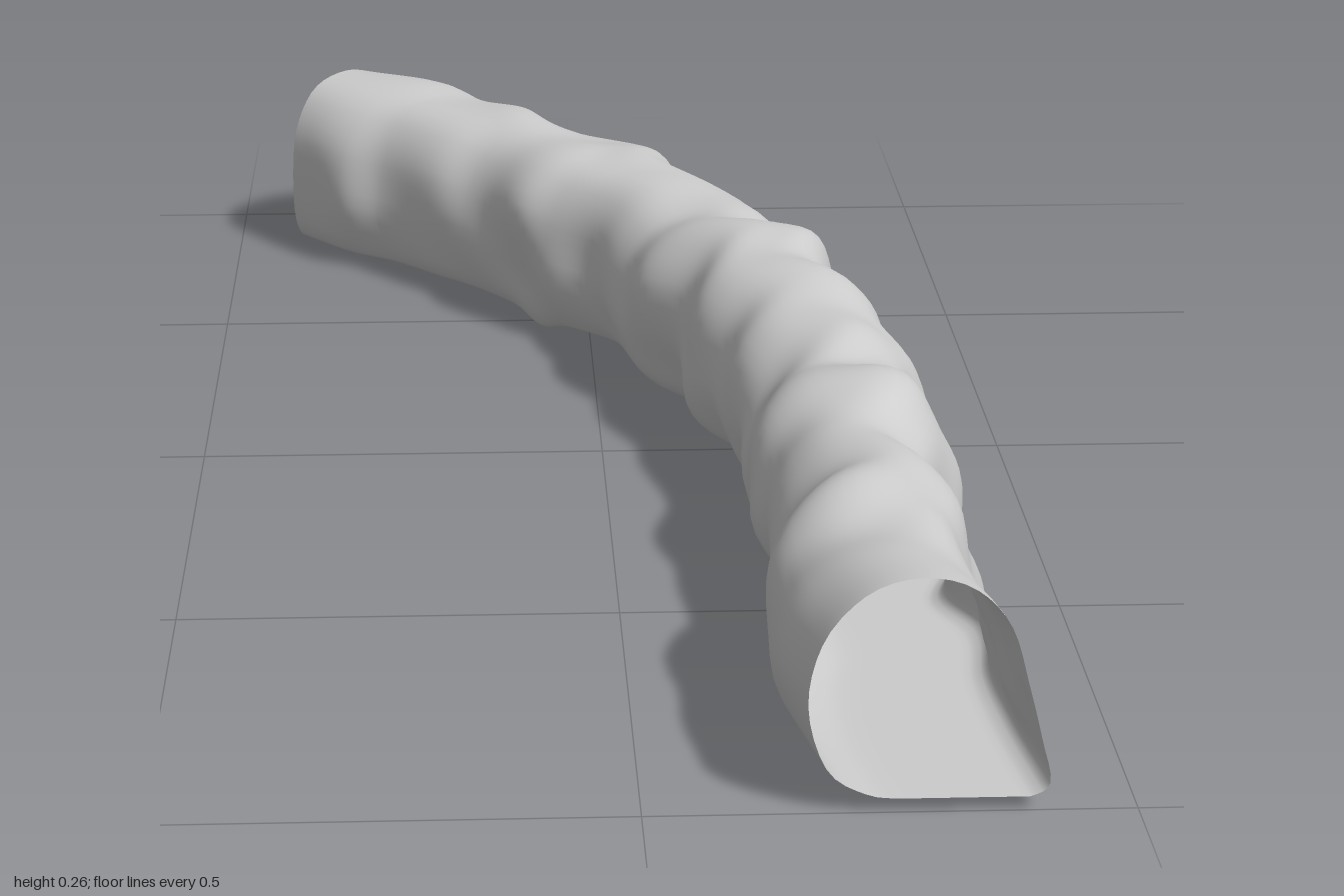
import * as THREE from 'three';

// Left and right wall of the tunnel in plan, back to front: [xL, zL, xR, zR]
const walls = [
  [-0.42, -0.84, -0.27, -1], [-0.35, -0.75, -0.14, -0.93], [-0.29, -0.71, -0.1, -0.85],
  [-0.22, -0.63, -0.03, -0.82], [-0.17, -0.58, 0.01, -0.73], [-0.1, -0.47, 0.14, -0.61],
  [-0.06, -0.42, 0.15, -0.51], [0, -0.35, 0.24, -0.41], [0.025, -0.25, 0.275, -0.33],
  [0.045, -0.17, 0.285, -0.24], [0.1, -0.08, 0.325, -0.18], [0.1, 0.01, 0.325, -0.08],
  [0.135, 0.09, 0.37, 0], [0.14, 0.16, 0.37, 0.08], [0.16, 0.25, 0.4, 0.15],
  [0.15, 0.36, 0.385, 0.25], [0.15, 0.45, 0.415, 0.38], [0.165, 0.53, 0.37, 0.52],
  [0.16, 0.65, 0.4, 0.61], [0.145, 0.75, 0.39, 0.73], [0.14, 0.86, 0.395, 0.85],
  [0.165, 1, 0.41, 1],
];

// Roof level at even steps from back to front
const roofLevels = [
  0.245, 0.246, 0.243, 0.235, 0.245, 0.245, 0.23, 0.238, 0.262, 0.25,
  0.245, 0.235, 0.23, 0.248, 0.235, 0.238, 0.245, 0.235, 0.243, 0.255,
];

// Cross-sections (u across -1..1, v up 0..1): left wall, roof, right wall, floor
const backProfile = [
  [-0.84, 0], [-0.97, 0.12], [-1, 0.42], [-0.92, 0.7], [-0.62, 0.92], [-0.1, 1], [0.45, 0.95],
  [0.83, 0.77], [1, 0.48], [0.95, 0.23], [0.78, 0.06], [0.55, 0], [0.2, 0], [-0.2, 0], [-0.55, 0],
];
const frontProfile = [
  [-0.5, 0.02], [-0.84, 0.14], [-1, 0.43], [-0.9, 0.7], [-0.56, 0.92], [-0.1, 1], [0.35, 0.94],
  [0.64, 0.77], [0.8, 0.5], [0.92, 0.26], [1, 0.06], [0.84, 0], [0.45, 0], [0.1, 0], [-0.2, 0],
];

const SEGMENTS = 190, SIDES = 60, FLOOR = 0.015;

const spline = (points, closed) => new THREE.CatmullRomCurve3(points, closed, 'centripetal');
const section = (profile) => spline(profile.map(([u, v]) => new THREE.Vector3(u, v, 0)), true);

// Lumpy rock relief, -1..1, broken up along the tunnel and around the section
const relief = (z, u, v) =>
  0.45 * Math.sin(24 * z + 2.2 * u + 1) * Math.cos(2.4 * u - 6 * v + 5 * z) +
  0.35 * Math.sin(35 * z - 3.1 * u + 7 * v) +
  0.2 * Math.sin(15 * z + 5 * u - 9 * v + 2);

function tunnelGeometry() {
  const left = spline(walls.map(([x, z]) => new THREE.Vector3(x, 0, z)), false);
  const right = spline(walls.map(([, , x, z]) => new THREE.Vector3(x, 0, z)), false);
  const roof = new THREE.SplineCurve(roofLevels.map((y, i) => new THREE.Vector2(i, y)));
  const back = section(backProfile), front = section(frontProfile);
  const positions = [], index = [];

  for (let i = 0; i <= SEGMENTS; i++) {
    const t = i / SEGMENTS;
    const l = left.getPoint(t), r = right.getPoint(t);
    const mid = l.clone().add(r).multiplyScalar(0.5);
    const across = r.clone().sub(l).multiplyScalar(0.5);
    const ends = Math.min(1, Math.min(t, 1 - t) * 12);
    const blend = THREE.MathUtils.smoothstep(t, 0.1, 0.9);
    const height = roof.getPoint(THREE.MathUtils.clamp((mid.z + 0.92) / 1.92, 0, 1)).y - FLOOR;

    for (let j = 0; j < SIDES; j++) {
      const s = back.getPoint(j / SIDES).lerp(front.getPoint(j / SIDES), blend);
      const v = Math.max(0, s.y);
      const lump = relief(mid.z, s.x, v) * Math.min(1, v * 4) * ends;
      // The walls tuck in towards the floor along the middle stretch
      const tuck = 0.1 * Math.sin(Math.PI * t) * Math.max(0, 1 - v / 0.35);
      const p = mid.clone().addScaledVector(across, s.x * (1 - tuck + 0.075 * lump));
      p.y = FLOOR + v * height + 0.009 * lump * v;
      // Small sags at the foot of the wall
      const sag = Math.exp(-(((p.x + 0.07) / 0.03) ** 2) - ((p.z + 0.47) / 0.04) ** 2)
        + 0.5 * Math.exp(-(((p.x - 0.38) / 0.03) ** 2) - ((p.z - 0.38) / 0.05) ** 2);
      p.y -= 0.017 * sag * Math.max(0, 1 - v * 3);
      positions.push(p.x, Math.max(0, p.y), p.z);
    }
  }
  for (let i = 0; i < SEGMENTS; i++) {
    for (let j = 0; j < SIDES; j++) {
      const k = (j + 1) % SIDES;
      const a = i * SIDES + j, b = a + SIDES, c = i * SIDES + k, d = c + SIDES;
      index.push(a, b, c, b, d, c);
    }
  }
  const geometry = new THREE.BufferGeometry();
  geometry.setAttribute('position', new THREE.Float32BufferAttribute(positions, 3));
  geometry.setIndex(index);
  geometry.computeVertexNormals();
  return geometry;
}

export function createModel() {
  const model = new THREE.Group();
  model.name = 'caveTunnel';
  // Thin rock shell, open at both ends
  const material = new THREE.MeshStandardMaterial({ color: 0xcccccc, side: THREE.DoubleSide });
  const shell = new THREE.Mesh(tunnelGeometry(), material);
  shell.name = 'tunnelShell';
  model.add(shell);
  return model;
}
